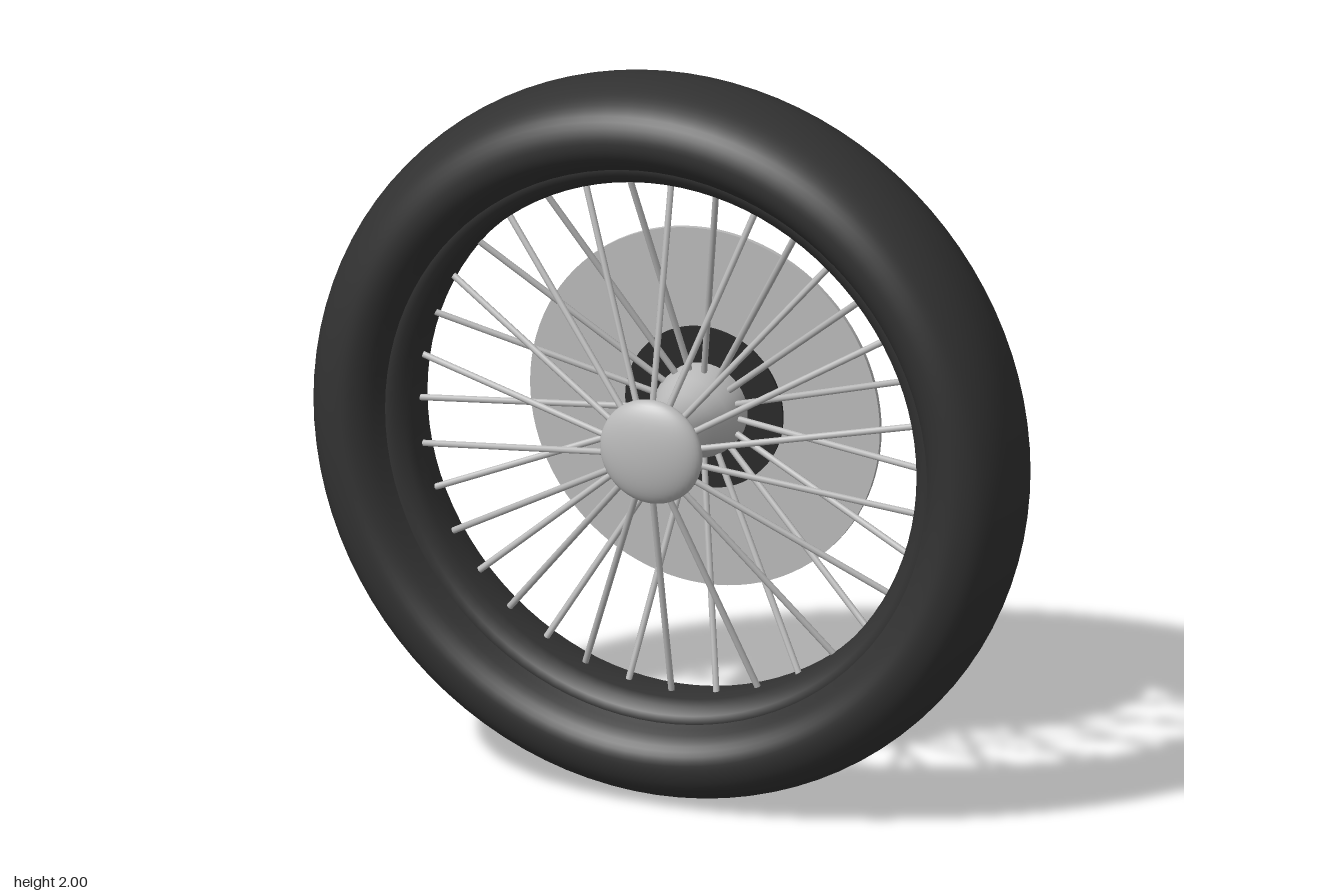
import * as THREE from 'three';

const MID = 0.025; // z of the tyre's middle plane
const SPOKES = 36;

const paint = (name, color) => {
  const m = new THREE.MeshStandardMaterial({ color });
  m.name = name;
  return m;
};

export function createModel() {
  const rubber = paint('black rubber', 0x323232);
  const dark = paint('dark metal', 0x292929);
  const steel = paint('brushed steel', 0xbababa);

  const wheel = new THREE.Group();
  wheel.name = 'wheel';
  const add = (name, geometry, material, z = 0, parent = wheel) => {
    const mesh = new THREE.Mesh(geometry, material);
    mesh.name = name;
    mesh.position.z = z;
    parent.add(mesh);
    return mesh;
  };
  // Turned parts: profile of (radius, z), spun around the z axis
  const turned = (points, segments = 96) => new THREE.LatheGeometry(points, segments).rotateX(Math.PI / 2);
  const disc = (radius, depth) => new THREE.CylinderGeometry(radius, radius, depth, 96).rotateX(Math.PI / 2);

  const hubWheel = new THREE.Group();
  hubWheel.position.y = 1;
  wheel.add(hubWheel);

  // Tyre: rounded tread, straight walls, sides curving in to the bead
  const half = [[1, 0], [0.995, 0.06], [0.975, 0.12], [0.94, 0.168], [0.89, 0.193], [0.85, 0.192], [0.81, 0.165], [0.775, 0.11]];
  const loop = [...half.slice(1).reverse().map(([r, z]) => [r, -z]), ...half];
  const outline = new THREE.CatmullRomCurve3(loop.map(([r, z]) => new THREE.Vector3(r, z, 0)))
    .getPoints(48).map(p => new THREE.Vector2(Math.min(p.x, 1), p.y));
  add('tyre', turned(outline), rubber, MID, hubWheel);

  // Rim: rounded band closing the inside of the tyre
  const rim = [[0.79, -0.1], [0.775, -0.108], [0.755, -0.1], [0.735, -0.08], [0.722, -0.055], [0.72, 0]];
  const rimLoop = [...rim, ...rim.slice(0, -1).reverse().map(([r, z]) => [r, -z])];
  add('rim', turned(rimLoop.reverse().map(([r, z]) => new THREE.Vector2(r, z))), rubber, MID, hubWheel);

  // Hub: domed front cap, waisted barrel and a flared rear end
  const cap = new THREE.SphereGeometry(0.145, 48, 24).scale(1, 1, 0.35);
  add('hubCap', cap, steel, 0.168, hubWheel);
  const barrel = [[0.125, -0.2], [0.125, -0.15], [0.11, -0.1], [0.09, -0.04], [0.085, 0.04], [0.1, 0.12], [0.12, 0.17]];
  add('hubBarrel', turned(barrel.map(([r, z]) => new THREE.Vector2(r, z)), 48), steel, 0, hubWheel);

  // Brake disc and its dark centre plate
  add('brakeDisc', disc(0.5, 0.013), steel, -0.209, hubWheel);
  add('discCentre', disc(0.225, 0.028), dark, -0.209, hubWheel);

  // Spokes: alternately from the front and rear of the hub to the rim's middle
  const spokes = new THREE.Group();
  spokes.name = 'spokes';
  hubWheel.add(spokes);
  const up = new THREE.Vector3(0, 1, 0);
  for (let i = 0; i < SPOKES; i++) {
    const a = (i / SPOKES) * Math.PI * 2;
    const front = i % 2 === 0;
    const start = new THREE.Vector3(0, 0.105, front ? 0.165 : -0.15);
    const end = new THREE.Vector3(0, 0.735, MID);
    const along = end.clone().sub(start);
    const spoke = add('spoke', new THREE.CylinderGeometry(0.009, 0.009, along.length(), 8), steel);
    spoke.quaternion.setFromUnitVectors(up, along.normalize());
    spoke.position.copy(start).add(end).multiplyScalar(0.5);
    const arm = new THREE.Group();
    arm.rotation.z = a;
    arm.add(spoke);
    spokes.add(arm);
  }
  return wheel;
}
